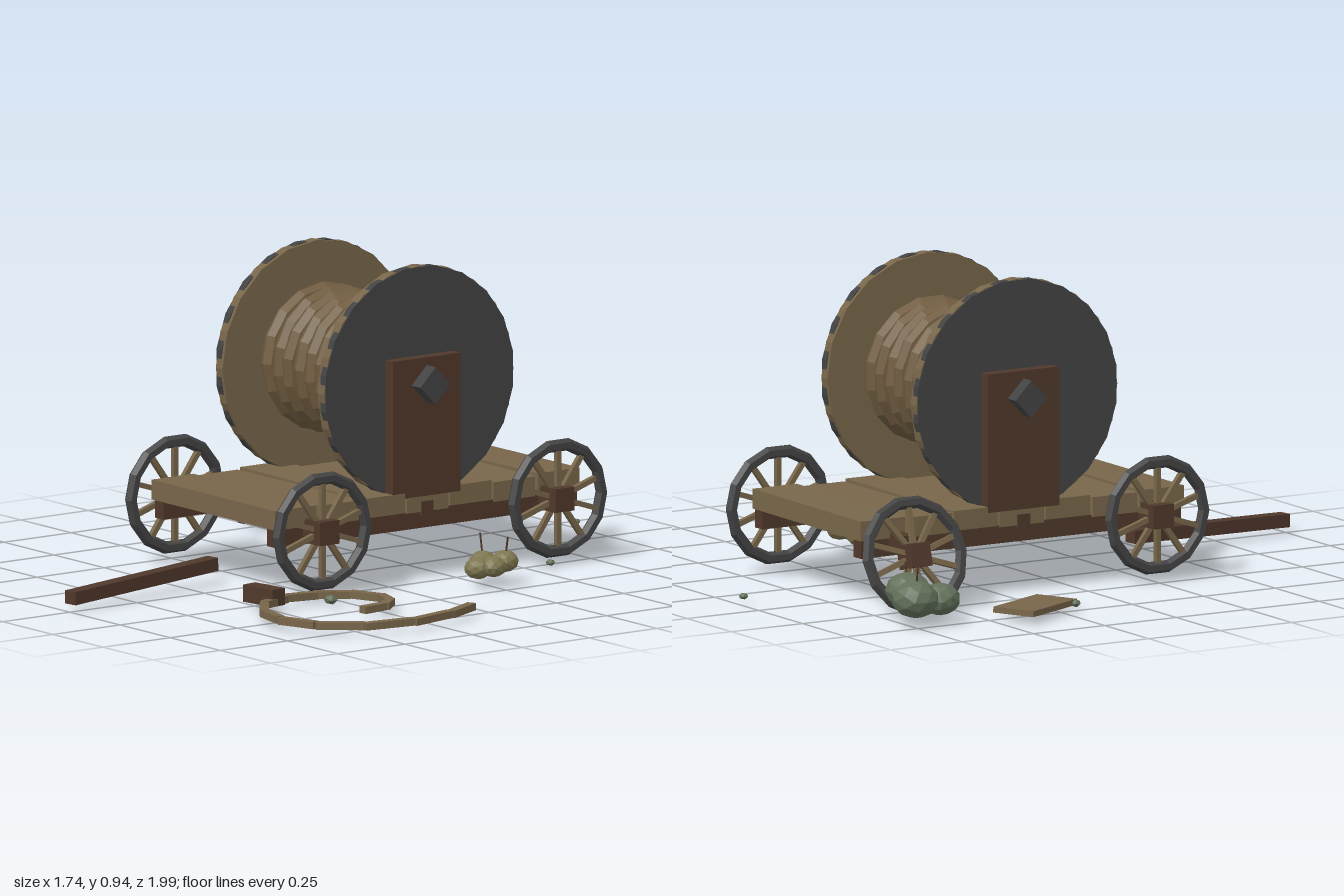
import * as THREE from 'three';

const mat = (name, color) => {
  const m = new THREE.MeshStandardMaterial({ color, flatShading: true });
  m.name = name;
  return m;
};

export function createModel() {
  const wood = mat('tan wood', 0x78664a);
  const darkWood = mat('dark brown wood', 0x50382b);
  const iron = mat('iron', 0x434343);
  const rope = mat('rope', 0x705c40);
  const green = mat('grey green plant', 0x62705a);
  const olive = mat('yellow green plant', 0x7d7650);

  const root = new THREE.Group();
  root.name = 'ropeCart';

  const add = (parent, name, geo, material, x = 0, y = 0, z = 0) => {
    const m = new THREE.Mesh(geo, material);
    m.name = name;
    m.position.set(x, y, z);
    parent.add(m);
    return m;
  };
  const box = (parent, name, material, size, pos) =>
    add(parent, name, new THREE.BoxGeometry(...size), material, ...pos);
  // Square timber running between two points
  const beam = (parent, name, material, a, b, w, h) => {
    const p = new THREE.Vector3(...a), q = new THREE.Vector3(...b);
    const m = box(parent, name, material, [w, h, p.distanceTo(q)], p.clone().lerp(q, 0.5).toArray());
    m.lookAt(q);
    return m;
  };

  // Deck planks laid across the cart
  const cx = -0.1, reelY = 0.61, reelZ = -0.17;
  for (let i = 0; i < 7; i++) {
    const p = box(root, 'deckPlank', wood, [0.615, 0.06, 0.155],
      [cx + 0.003 * Math.sin(i * 5), 0.255 + 0.003 * Math.cos(i * 3), -0.662 + i * 0.1625]);
    p.rotation.z = 0.005 * Math.sin(i * 4 + 1);
  }

  // Side rails, cross beams and axles
  for (const s of [-1, 1]) box(root, 'sideRail', darkWood, [0.042, 0.055, 1.12], [cx + s * 0.28, 0.2, -0.175]);
  box(root, 'middleBeam', darkWood, [0.63, 0.042, 0.042], [cx, 0.234, reelZ]);
  for (const z of [0.26, -0.615]) box(root, 'axle', darkWood, [0.74, 0.045, 0.045], [cx, 0.22, z]);

  // Spoked wheels, with the axis along x
  const makeWheel = (name, x, y, z, tilt = 0) => {
    const g = new THREE.Group();
    g.name = name;
    const tyre = add(g, 'tyre', new THREE.TorusGeometry(0.163, 0.019, 6, 14), iron);
    tyre.rotation.y = Math.PI / 2;
    box(g, 'hub', darkWood, [0.075, 0.072, 0.072], [0, 0, 0]);
    for (let i = 0; i < 10; i++) {
      const a = (i / 10) * Math.PI * 2;
      const s = box(g, 'spoke', wood, [0.016, 0.13, 0.016], [0, Math.cos(a) * 0.092, Math.sin(a) * 0.092]);
      s.rotation.x = a;
    }
    g.position.set(x, y, z);
    g.rotation.z = tilt;
    root.add(g);
  };
  makeWheel('frontLeftWheel', 0.265, 0.22, 0.26);
  makeWheel('frontRightWheel', -0.47, 0.22, 0.26);
  makeWheel('rearLeftWheel', 0.265, 0.22, -0.615);
  makeWheel('looseRearRightWheel', -0.52, 0.19, -0.62, -0.26);

  // Reel: wooden flanges with iron facing, uprights and axle ends
  const disc = (name, material, r, t, x, turn) => {
    const geo = new THREE.CylinderGeometry(r, r, t, 20).rotateY(turn).rotateZ(Math.PI / 2);
    return add(root, name, geo, material, x, reelY, reelZ);
  };
  for (const s of [-1, 1]) {
    disc('reelFlange', wood, 0.352, 0.034, cx + s * 0.253, 0);
    disc('flangeFacing', iron, 0.352, 0.026, cx + s * 0.26, Math.PI / 20);
    box(root, 'reelSupport', darkWood, [0.038, 0.42, 0.25], [cx + s * 0.291, 0.48, reelZ]);
    const cap = box(root, 'reelAxleEnd', iron, [0.06, 0.08, 0.08], [cx + s * 0.324, reelY, reelZ]);
    cap.rotation.x = Math.PI / 4;
  }
  disc('reelCore', rope, 0.195, 0.48, cx, 0);

  // Rope wound on the reel
  for (let i = 0; i < 9; i++) {
    const geo = new THREE.TorusGeometry(0.193, 0.032, 7, 16).rotateZ(i * 1.3).rotateY(Math.PI / 2);
    const coil = add(root, 'ropeCoil', geo, rope, cx - 0.212 + i * 0.053, 0.613, reelZ - 0.005);
    coil.rotation.set(0, 0.025 * Math.sin(i * 2.3), 0.025 * Math.cos(i * 1.7));
  }

  // Loose rope end curling over the ground, with its block
  const curl = [[0.77, 0.08], [0.825, 0.2], [0.855, 0.36], [0.825, 0.52], [0.73, 0.63], [0.6, 0.665],
    [0.48, 0.635], [0.38, 0.56], [0.335, 0.45], [0.345, 0.34], [0.4, 0.255], [0.49, 0.21],
    [0.565, 0.23], [0.61, 0.285], [0.615, 0.37]];
  for (let i = 0; i < curl.length - 1; i++) {
    const [a, b] = [curl[i], curl[i + 1]];
    beam(root, 'looseRope', wood, [a[0], 0.05, a[1]], [b[0], 0.048, b[1]], 0.028, 0.022);
  }
  box(root, 'ropeBlock', darkWood, [0.125, 0.052, 0.052], [0.31, 0.063, 0.51]).rotation.y = 0.15;

  // Fallen drawbar and loose board
  beam(root, 'drawbar', darkWood, [-0.098, 0.082, 0.395], [-0.008, 0.06, 0.993], 0.044, 0.04);
  const board = box(root, 'looseBoard', wood, [0.138, 0.018, 0.262], [-0.75, 0.048, -0.34]);
  board.rotation.set(0.02, 0.5, 0);

  // Plants: faceted lobes with thin stalks
  const plant = (name, material, lobes, stalkTop) => {
    const g = new THREE.Group();
    g.name = name;
    lobes.forEach(([x, y, z, r], i) => {
      const m = add(g, 'lobe', new THREE.IcosahedronGeometry(r, 1), material, x, y, z);
      m.scale.y = 0.8;
      m.rotation.y = i * 1.1;
      if (i < 2) beam(g, 'stalk', darkWood, [x, y, z], [x + (i ? 0.015 : -0.015), stalkTop, z], 0.004, 0.004);
    });
    root.add(g);
  };
  plant('greenPlant', green, [[-0.71, 0.1, -0.735, 0.072], [-0.645, 0.115, -0.72, 0.07], [-0.7, 0.09, -0.642, 0.062]], 0.2);
  plant('yellowPlant', olive, [[0.35, 0.08, -0.275, 0.042], [0.425, 0.09, -0.3, 0.042], [0.435, 0.08, -0.25, 0.04],
    [0.405, 0.075, -0.215, 0.042], [0.385, 0.075, -0.255, 0.042]], 0.165);

  // Scattered pebbles
  for (const [x, y, z, r] of [[-0.14, 0.043, -0.985, 0.015], [0.33, 0.043, -0.54, 0.015],
    [0.415, 0.045, 0.34, 0.022], [-0.755, 0.043, -0.203, 0.018]])
    add(root, 'pebble', new THREE.IcosahedronGeometry(r, 0), green, x, y, z).scale.y = 0.7;

  return root;
}
